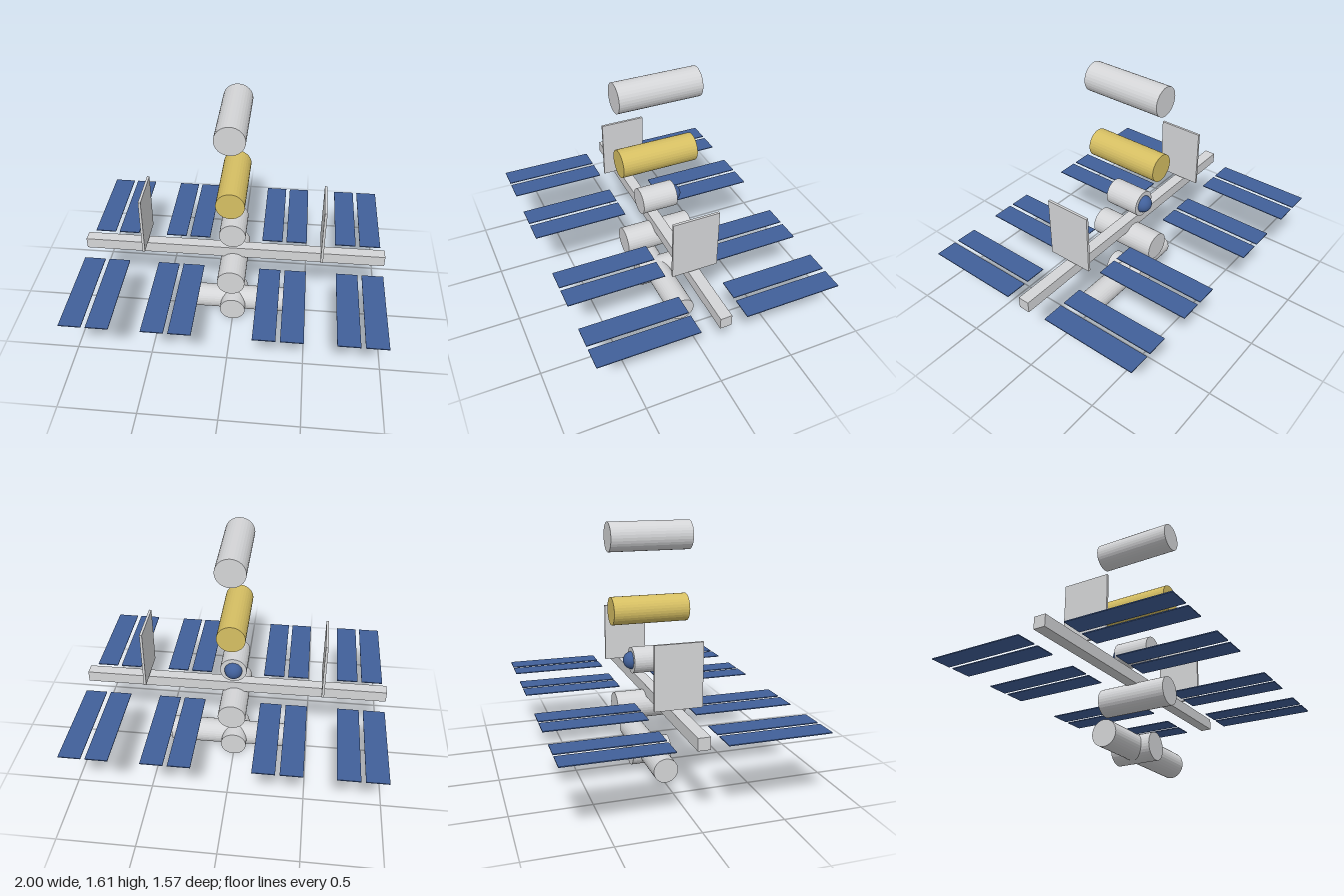
import * as THREE from 'three';

export function createModel() {
  const model = new THREE.Group();
  model.name = 'spaceStation';

  const mat = (name, color, flatShading = false) => {
    const m = new THREE.MeshStandardMaterial({ color, flatShading });
    m.name = name;
    return m;
  };
  const grey = mat('hullGrey', 0xd4d5d7, true);
  const gold = mat('foilGold', 0xd6bf63, true);
  const blue = mat('panelBlue', 0x41609a);

  const add = (name, geometry, material, x, y, z) => {
    const mesh = new THREE.Mesh(geometry, material);
    mesh.name = name;
    mesh.position.set(x, y, z);
    model.add(mesh);
    return mesh;
  };
  const moduleZ = (name, r, length, y, material = grey) =>
    add(name, new THREE.CylinderGeometry(r, r, length, 32).rotateX(Math.PI / 2), material, 0, y, 0);
  const moduleX = (name, r, x0, x1, y) =>
    add(name, new THREE.CylinderGeometry(r, r, x1 - x0, 32).rotateZ(Math.PI / 2), grey, (x0 + x1) / 2, y, 0);

  // Stacked pressurised modules
  moduleZ('topModule', 0.0935, 0.534, 1.522);
  moduleZ('goldModule', 0.09, 0.5, 1.056, gold);
  moduleZ('domeModule', 0.086, 0.236, 0.724);
  moduleZ('middleModule', 0.091, 0.466, 0.423);
  moduleZ('lowerNode', 0.086, 0.264, 0.088);

  // Side modules on the lower node
  moduleX('rightSideModule', 0.08, -0.367, 0, 0.091);
  moduleX('leftSideModule', 0.083, 0, 0.44, 0.09);

  // Window dome at the rear
  add('windowDome', new THREE.SphereGeometry(0.058, 32, 20), blue, 0, 0.724, -0.114);

  // Main truss
  add('truss', new THREE.BoxGeometry(2, 0.074, 0.074), grey, 0, 0.525, 0);

  for (const side of [-1, 1]) {
    // Upright radiators
    add('radiator', new THREE.BoxGeometry(0.016, 0.397, 0.298), grey, side * 0.583, 0.775, 0);

    // Paired solar panels, fore and aft
    for (const x of [0.251, 0.417, 0.751, 0.917]) {
      for (const end of [-1, 1]) {
        add('solarPanel', new THREE.BoxGeometry(0.139, 0.006, 0.633), blue, side * x, 0.491, end * 0.466);
      }
    }
  }
  return model;
}
